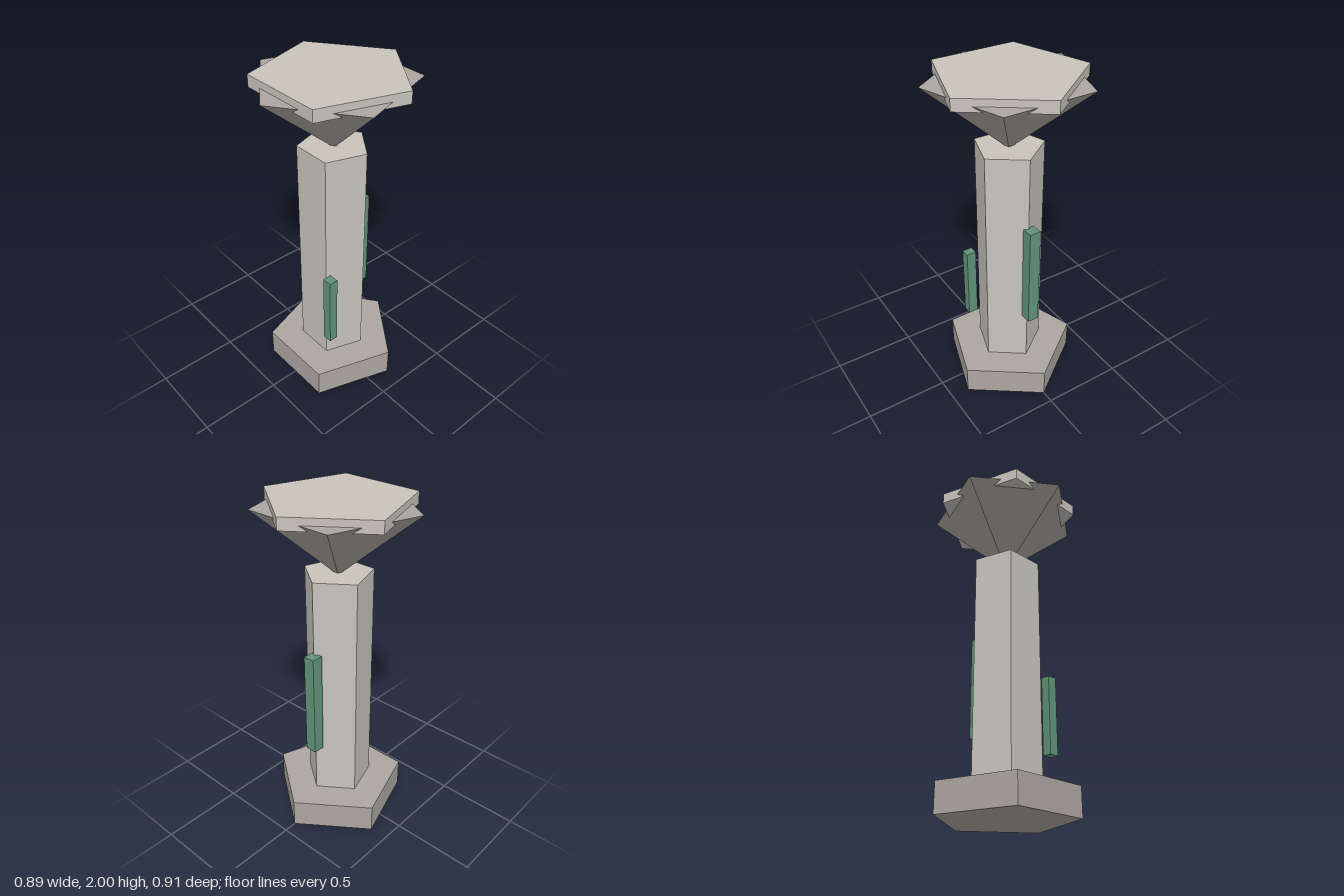
import * as THREE from 'three';

const AXIS_Z = -0.013; // shared pillar axis

const material = (color) => new THREE.MeshStandardMaterial({ color, flatShading: true });

export function createModel() {
  const group = new THREE.Group();
  const stone = material(0xc8c4bc);
  const darkStone = material(0xaca6a1);
  const green = material(0x609479);

  const add = (name, geometry, mat, x, y, z) => {
    const mesh = new THREE.Mesh(geometry, mat);
    mesh.name = name;
    mesh.position.set(x, y, z);
    group.add(mesh);
  };

  // Five-sided prism or cone between two heights; start = 0 points a corner to the front
  const pentagon = (name, rTop, rBottom, y0, y1, start, mat) => add(
    name,
    new THREE.CylinderGeometry(rTop, rBottom, y1 - y0, 5, 1, false, start),
    mat, 0, (y0 + y1) / 2, AXIS_Z);

  pentagon('base', 0.41, 0.41, 0, 0.175, Math.PI, darkStone);
  pentagon('column', 0.205, 0.205, 0.175, 1.58, Math.PI, stone);
  // Inverted cone with its tip sunk into the column
  pentagon('capitalCone', 0.467, 0, 1.56, 1.96, 0, darkStone);
  pentagon('topSlab', 0.439, 0.439, 1.93, 2, Math.PI, stone);

  // Green strips beside the column
  add('frontStrip', new THREE.BoxGeometry(0.06, 0.465, 0.055), green, 0.174, 0.588, 0.165);
  add('backStrip', new THREE.BoxGeometry(0.07, 0.64, 0.07), green, -0.01, 0.82, -0.235);

  return group;
}
